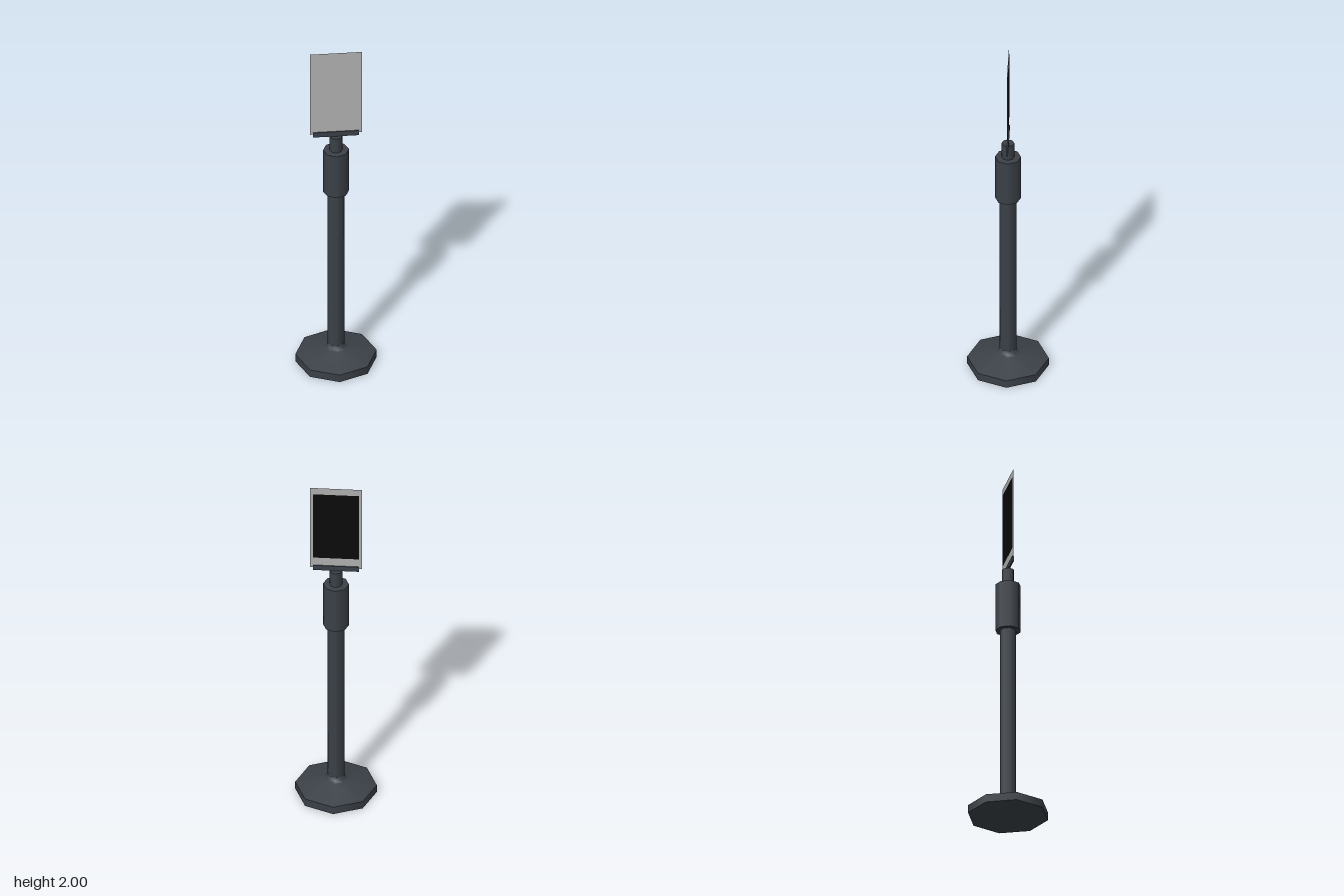
import * as THREE from 'three';

const SIDES = 8;

export function createModel() {
  const group = new THREE.Group();
  const darkMetal = new THREE.MeshStandardMaterial({ color: 0x3b4148 });
  const panelGrey = new THREE.MeshStandardMaterial({ color: 0xb0b0b0 });
  panelGrey.side = THREE.DoubleSide;
  const screenBlack = new THREE.MeshStandardMaterial({ color: 0x0a0a0a });

  const add = (name, geometry, material, x = 0, y = 0, z = 0) => {
    const mesh = new THREE.Mesh(geometry, material);
    mesh.name = name;
    mesh.position.set(x, y, z);
    group.add(mesh);
    return mesh;
  };
  // Eight-sided upright cylinder between two heights
  const column = (name, radius, y0, y1) =>
    add(name, new THREE.CylinderGeometry(radius, radius, y1 - y0, SIDES), darkMetal, 0, (y0 + y1) / 2);

  // Foot: flat rim with a sloping top that flares into the pole
  column('baseRim', 0.22, 0, 0.045);
  const slope = [[0.22, 0.045], [0.065, 0.085], [0.052, 0.095], [0.045, 0.115]]
    .map(([r, y]) => new THREE.Vector2(r, y));
  add('baseSlope', new THREE.LatheGeometry(slope, SIDES), darkMetal);

  // Upright
  column('pole', 0.045, 0.1, 1.1);
  column('collar', 0.07, 1.1, 1.37);
  column('neck', 0.034, 1.37, 1.46);

  // Clamp that grips the thin panel
  add('panelClamp', new THREE.BoxGeometry(0.25, 0.03, 0.01), darkMetal, 0, 1.475, 0);

  // Sheet panel, with the dark screen on its back
  add('panel', new THREE.PlaneGeometry(0.28, 0.524), panelGrey, 0, 1.738, 0);
  add('screen', new THREE.PlaneGeometry(0.25, 0.42), screenBlack, 0, 1.75, -0.002).rotation.y = Math.PI;

  return group;
}
